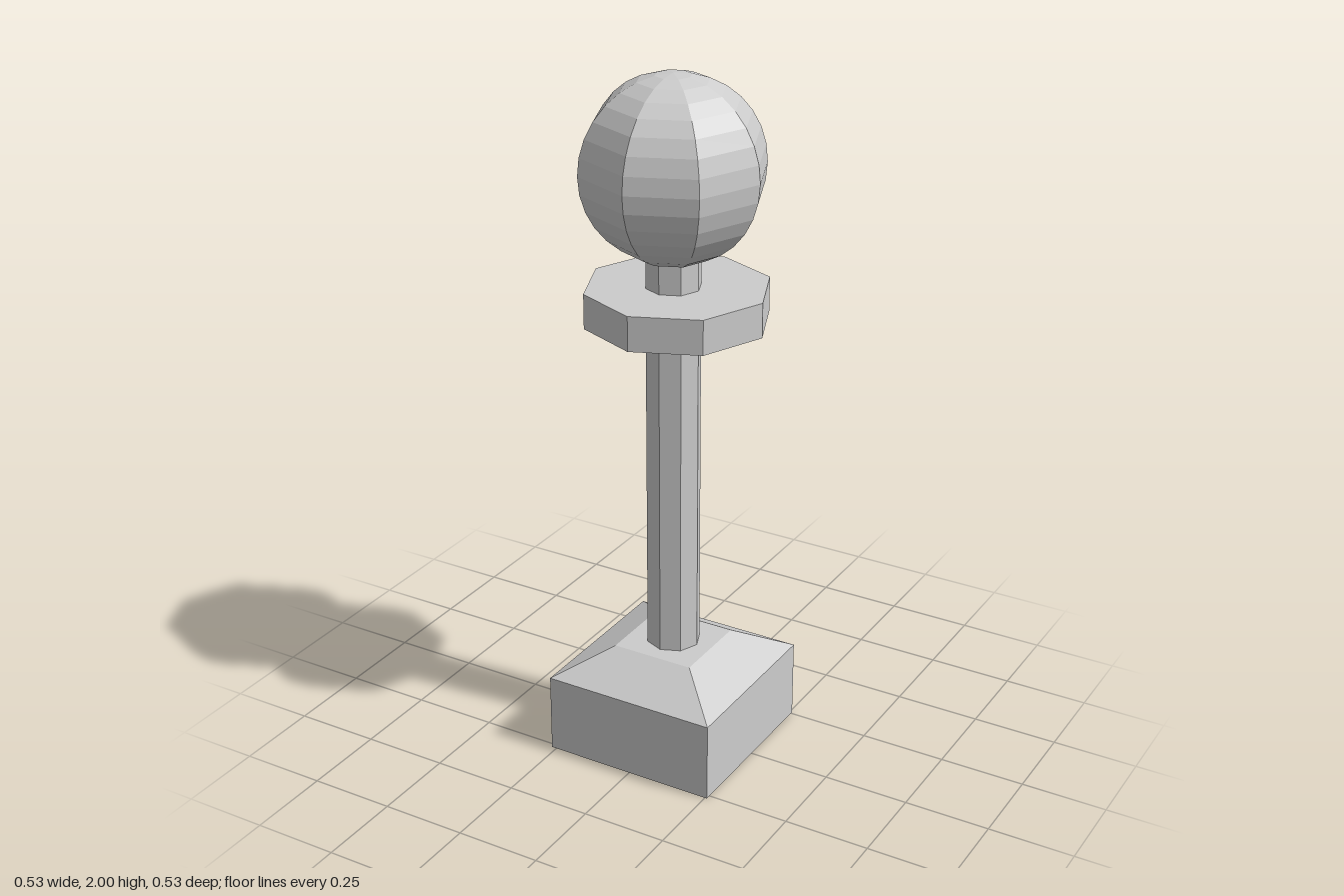
import * as THREE from 'three';

export function createModel() {
  const group = new THREE.Group();
  const stone = new THREE.MeshStandardMaterial({ color: 0xcccccc });
  stone.name = 'lightGrey';

  // Adds a faceted part centred at x, y, z
  const add = (name, geometry, x, y, z) => {
    const flat = geometry.index ? geometry.toNonIndexed() : geometry;
    flat.computeVertexNormals();
    const mesh = new THREE.Mesh(flat, stone);
    mesh.name = name;
    mesh.position.set(x, y, z);
    group.add(mesh);
  };

  const c = 0.004; // slight offset of the post axis from the centre

  // Square plinth with a sloped cap
  add('plinth', new THREE.BoxGeometry(0.522, 0.235, 0.522), -c, 0.1175, c);
  const cap = new THREE.CylinderGeometry(0.123 * Math.SQRT2, 0.261 * Math.SQRT2, 0.08, 4);
  cap.rotateY(Math.PI / 4);
  add('plinthCap', cap, -c, 0.275, c);

  // Octagonal shaft, running up into the ball
  add('shaft', new THREE.CylinderGeometry(0.078, 0.078, 1.24, 8), -c, 0.93, c);

  // Octagonal collar below the ball
  add('collar', new THREE.CylinderGeometry(0.261, 0.261, 0.1, 8), c, 1.361, -c);

  // Eight-sided ball finial
  add('ball', new THREE.SphereGeometry(0.26, 8, 16), -c, 1.74, c);

  return group;
}
